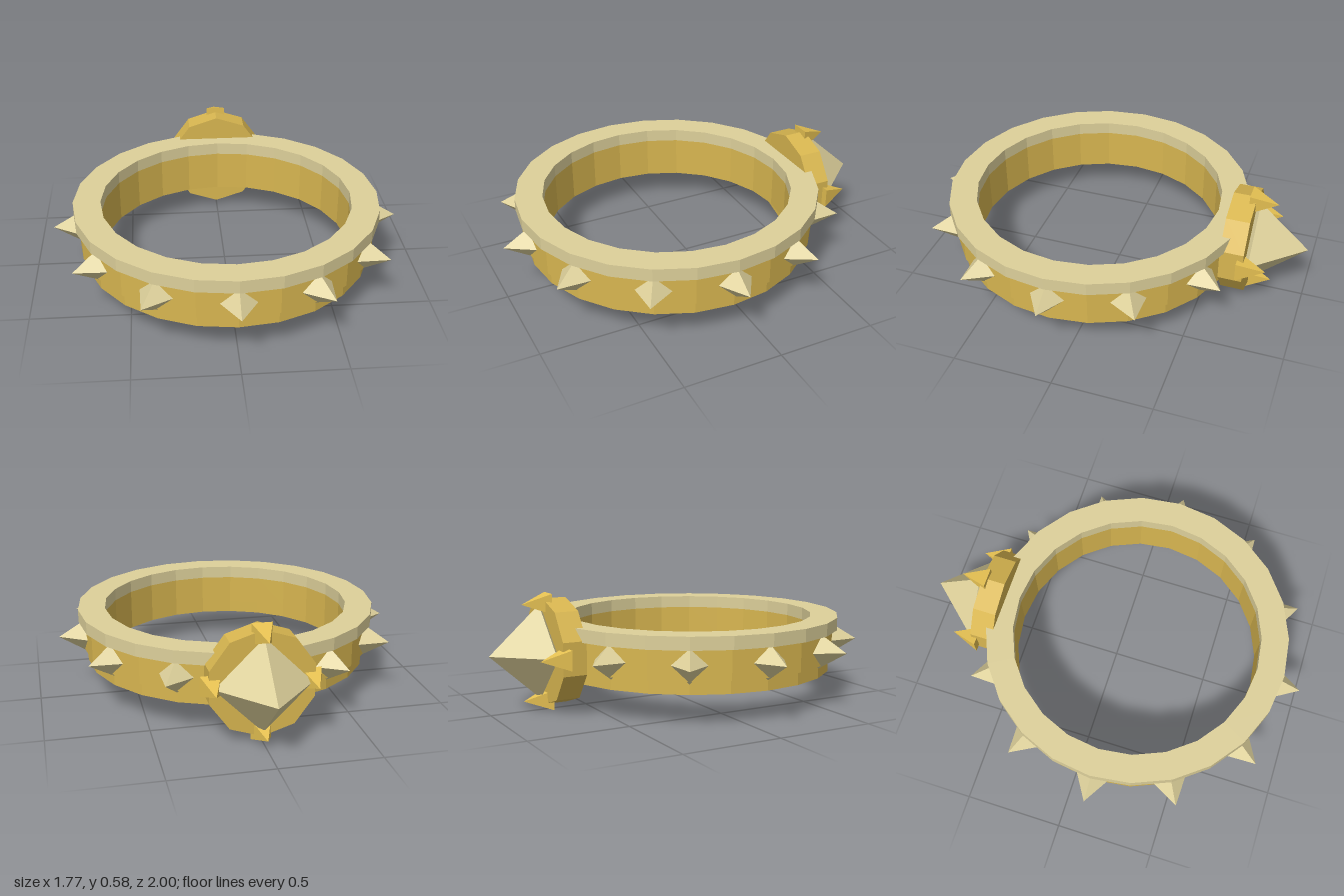
import * as THREE from 'three';

const GOLD = new THREE.MeshStandardMaterial({ color: 0xd8b650, flatShading: true });
const PALE = new THREE.MeshStandardMaterial({ color: 0xddd09a, flatShading: true });
const BRIGHT = new THREE.MeshStandardMaterial({ color: 0xe6c152, flatShading: true });

const MID_Y = 0.285; // height of spikes and gem
const RING_Z = 0.11; // ring centre

function add(parent, name, geometry, material, x = 0, y = 0, z = 0) {
  const mesh = new THREE.Mesh(geometry, material);
  mesh.name = name;
  mesh.position.set(x, y, z);
  parent.add(mesh);
  return mesh;
}

// Closed hoop with a rectangular section
function hoop(outer, y0, y1, inner = 0.64) {
  const section = [[inner, y0], [outer, y0], [outer, y1], [inner, y1], [inner, y0]];
  return new THREE.LatheGeometry(section.map(([r, y]) => new THREE.Vector2(r, y)), 24);
}

export function createModel() {
  const model = new THREE.Group();
  model.name = 'spikedRing';

  // Stepped band
  const band = new THREE.Group();
  band.name = 'band';
  band.position.z = RING_Z;
  model.add(band);
  add(band, 'lowerHoop', hoop(0.738, 0.145, 0.21), GOLD);
  add(band, 'middleHoop', hoop(0.755, 0.21, 0.36), GOLD);
  add(band, 'topRim', hoop(0.78, 0.36, 0.425), PALE);

  // Eleven pyramid spikes, leaving the gem's place free
  const spike = new THREE.ConeGeometry(0.092, 0.15, 4);
  spike.rotateX(Math.PI / 2);
  spike.translate(0, 0, 0.81);
  for (let i = 0; i < 12; i++) {
    if (i === 6) continue;
    add(band, 'spike', spike, PALE, 0, MID_Y, 0).rotation.y = i * Math.PI / 6;
  }

  // Gem setting at the back, built facing +z and turned round
  const setting = new THREE.Group();
  setting.name = 'gemSetting';
  setting.position.y = MID_Y;
  setting.rotation.y = Math.PI;
  model.add(setting);

  // Ten-sided bezel with a vertex at the top
  const bezel = new THREE.CylinderGeometry(0.265, 0.265, 0.12, 10);
  bezel.rotateX(Math.PI / 2);
  add(setting, 'bezel', bezel, GOLD, 0, 0, 0.66);

  // Four-sided gem: tall point and shallow underside
  const crown = new THREE.ConeGeometry(0.235, 0.26, 4, 1, true);
  crown.rotateX(Math.PI / 2);
  add(setting, 'gemCrown', crown, PALE, 0, 0, 0.87);
  const pavilion = new THREE.ConeGeometry(0.235, 0.12, 4, 1, true);
  pavilion.rotateX(-Math.PI / 2);
  add(setting, 'gemUnderside', pavilion, PALE, 0, 0, 0.68);

  // Four square-based prongs around the gem
  const prong = new THREE.ConeGeometry(0.05 * Math.SQRT2, 0.14, 4);
  prong.rotateY(Math.PI / 4);
  prong.rotateX(Math.PI / 2);
  for (let i = 0; i < 4; i++) {
    const a = i * Math.PI / 2;
    add(setting, 'prong', prong, BRIGHT, 0.24 * Math.cos(a), 0.24 * Math.sin(a), 0.76);
  }

  return model;
}
